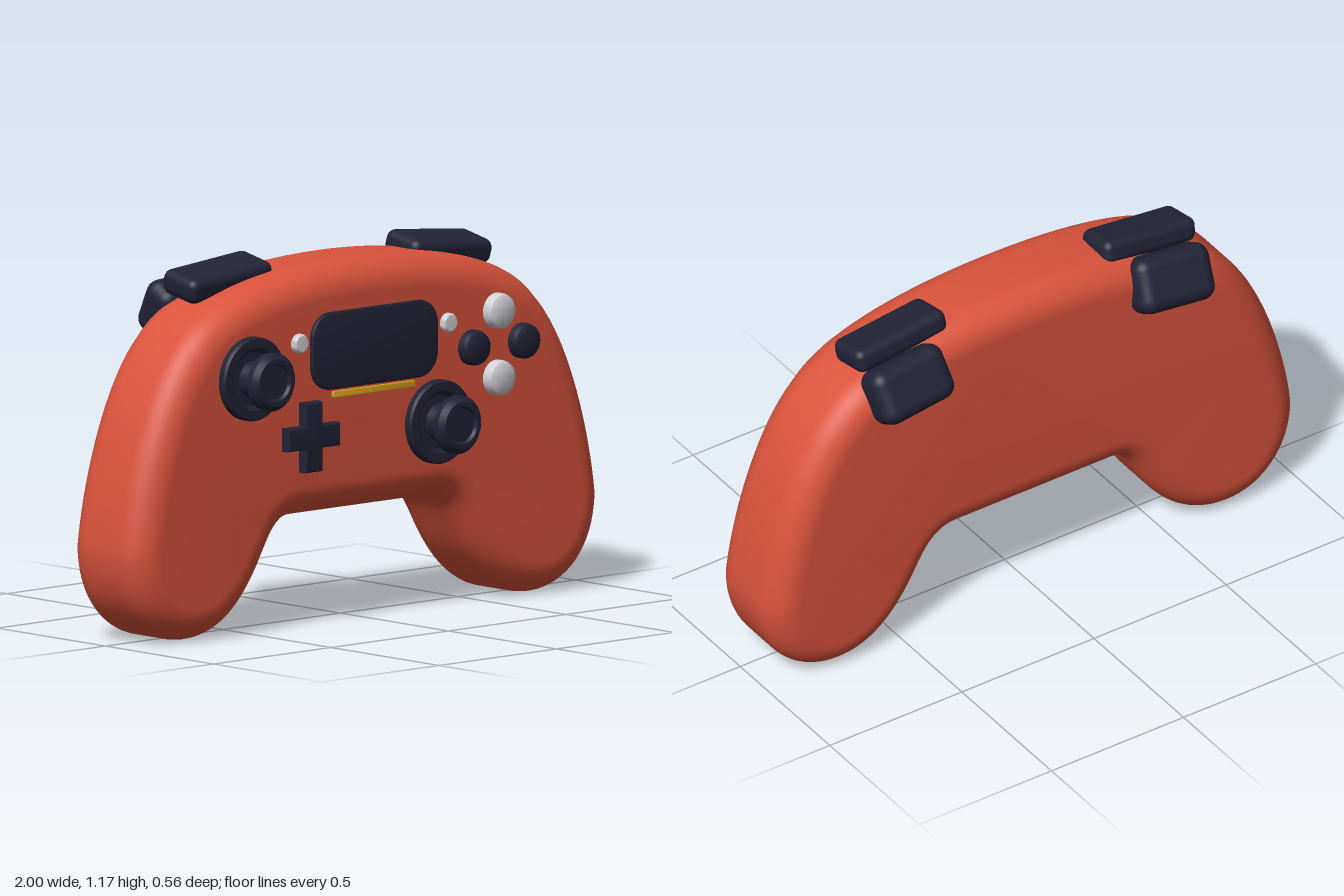
import * as THREE from 'three';
import { toCreasedNormals } from 'three/addons/utils/BufferGeometryUtils.js';
import { RoundedBoxGeometry } from 'three/addons/geometries/RoundedBoxGeometry.js';

const FACE = 0.15; // z of the front face of the shell
const V = (x, y) => new THREE.Vector2(x, y);

export function createModel() {
  const group = new THREE.Group();
  const material = (name, color) => {
    const m = new THREE.MeshStandardMaterial({ color });
    m.name = name;
    return m;
  };
  const red = material('shell red', 0xd9533c);
  const navy = material('dark navy', 0x222336);
  const white = material('light grey', 0xd0d0d5);
  const gold = material('gold', 0xdaa520);

  const add = (name, geometry, mat, x = 0, y = 0, z = 0) => {
    const mesh = new THREE.Mesh(geometry, mat);
    mesh.name = name;
    mesh.position.set(x, y, z);
    group.add(mesh);
    return mesh;
  };

  // Extruded shape with rounded rims that keeps its outline; spans z0 to z1
  const slab = (shape, z0, z1, bevel, steps) => {
    const g = new THREE.ExtrudeGeometry(shape, {
      depth: z1 - z0 - 2 * bevel, bevelThickness: bevel, bevelSize: bevel,
      bevelOffset: -bevel, bevelSegments: steps, curveSegments: 10,
    });
    g.translate(0, 0, z0 + bevel);
    return toCreasedNormals(g, 0.6);
  };

  // Turned part whose axis points out of the front face
  const turned = (points, segments = 40) => {
    const g = new THREE.LatheGeometry(points.map(([r, h]) => V(r, h)), segments);
    g.rotateX(Math.PI / 2);
    return toCreasedNormals(g, 0.6);
  };

  const roundedRect = (w, h, r) => {
    const s = new THREE.Shape();
    const a = w / 2, b = h / 2;
    s.moveTo(-a + r, -b);
    s.lineTo(a - r, -b).absarc(a - r, -b + r, r, -Math.PI / 2, 0);
    s.lineTo(a, b - r).absarc(a - r, b - r, r, 0, Math.PI / 2);
    s.lineTo(-a + r, b).absarc(-a + r, b - r, r, Math.PI / 2, Math.PI);
    s.lineTo(-a, -b + r).absarc(-a + r, -b + r, r, Math.PI, Math.PI * 1.5);
    return s;
  };

  // Shell: half outline from bottom centre to top centre, then mirrored
  const half = new THREE.Path();
  half.moveTo(0, 0.35);
  half.lineTo(0.29, 0.35);
  half.bezierCurveTo(0.36, 0.35, 0.385, 0.3, 0.42, 0.24);
  half.bezierCurveTo(0.49, 0.11, 0.585, 0, 0.735, 0);
  half.bezierCurveTo(0.89, 0, 1, 0.13, 1, 0.3);
  half.bezierCurveTo(0.975, 0.52, 0.88, 0.82, 0.74, 0.95);
  half.bezierCurveTo(0.63, 1.08, 0.35, 1.14, 0, 1.14);
  const side = half.getPoints(18);
  const mirrored = side.slice(1, -1).reverse().map((p) => V(-p.x, p.y));
  const outline = new THREE.Shape([...side, ...mirrored]);
  add('shell', slab(outline, -0.19, FACE, 0.1, 10), red);

  // Screen pad and the light strip below it
  add('touchPad', slab(roundedRect(0.535, 0.245, 0.08), FACE - 0.01, FACE + 0.015, 0.006, 3), navy, 0, 0.868);
  add('lightStrip', slab(roundedRect(0.35, 0.021, 0.006), FACE - 0.005, FACE + 0.01, 0.003, 2), gold, 0, 0.728);

  // Thumbsticks: base disc, tapered neck and dished cap
  const base = turned([[0.133, -0.01], [0.133, 0.02], [0.127, 0.027], [0.1, 0.027], [0.085, 0.015], [0, 0.015]]);
  const neck = turned([[0.06, 0.01], [0.056, 0.03], [0.045, 0.085]]);
  const cap = turned([
    [0, 0.08], [0.086, 0.08], [0.092, 0.086], [0.092, 0.108], [0.076, 0.125],
    [0.06, 0.125], [0.054, 0.115], [0, 0.113],
  ]);
  for (const [label, x, y] of [['right', -0.522, 0.815], ['left', 0.27, 0.597]]) {
    add(label + 'StickBase', base, navy, x, y, FACE);
    add(label + 'StickNeck', neck, navy, x, y, FACE);
    add(label + 'StickCap', cap, navy, x, y, FACE);
  }

  // Direction pad
  const L = 0.111, W = 0.037;
  const cross = new THREE.Shape([
    V(-W, -L), V(W, -L), V(W, -W), V(L, -W), V(L, W), V(W, W),
    V(W, L), V(-W, L), V(-W, W), V(-L, W), V(-L, -W), V(-W, -W),
  ]);
  add('directionPad', slab(cross, FACE - 0.01, FACE + 0.032, 0.008, 3), navy, -0.276, 0.606);

  // Four action buttons in a diamond
  const button = turned([[0.056, -0.01], [0.056, 0.022], [0.052, 0.033], [0.043, 0.039], [0, 0.041]], 32);
  add('upperButton', button, white, 0.525, 0.922, FACE);
  add('lowerButton', button, white, 0.525, 0.71, FACE);
  add('innerButton', button, navy, 0.419, 0.816, FACE);
  add('outerButton', button, navy, 0.631, 0.816, FACE);

  // Two small menu buttons beside the pad
  const menu = turned([[0.031, -0.01], [0.031, 0.012], [0.025, 0.02], [0, 0.021]], 24);
  for (const s of [-1, 1]) add('menuButton', menu, white, s * 0.317, 0.905, FACE);

  // Shoulder bumpers and rear triggers, mirrored and sloped with the top edge
  const bumper = new RoundedBoxGeometry(0.345, 0.082, 0.156, 4, 0.03);
  const trigger = new RoundedBoxGeometry(0.275, 0.185, 0.13, 5, 0.045);
  for (const s of [-1, 1]) {
    const label = s > 0 ? 'left' : 'right';
    add(label + 'Bumper', bumper, navy, s * 0.47, 1.107, -0.057).rotation.set(0.2, 0, -s * 0.1);
    add(label + 'Trigger', trigger, navy, s * 0.495, 1.01, -0.19).rotation.set(0.52, 0, -s * 0.1);
  }
  return group;
}
